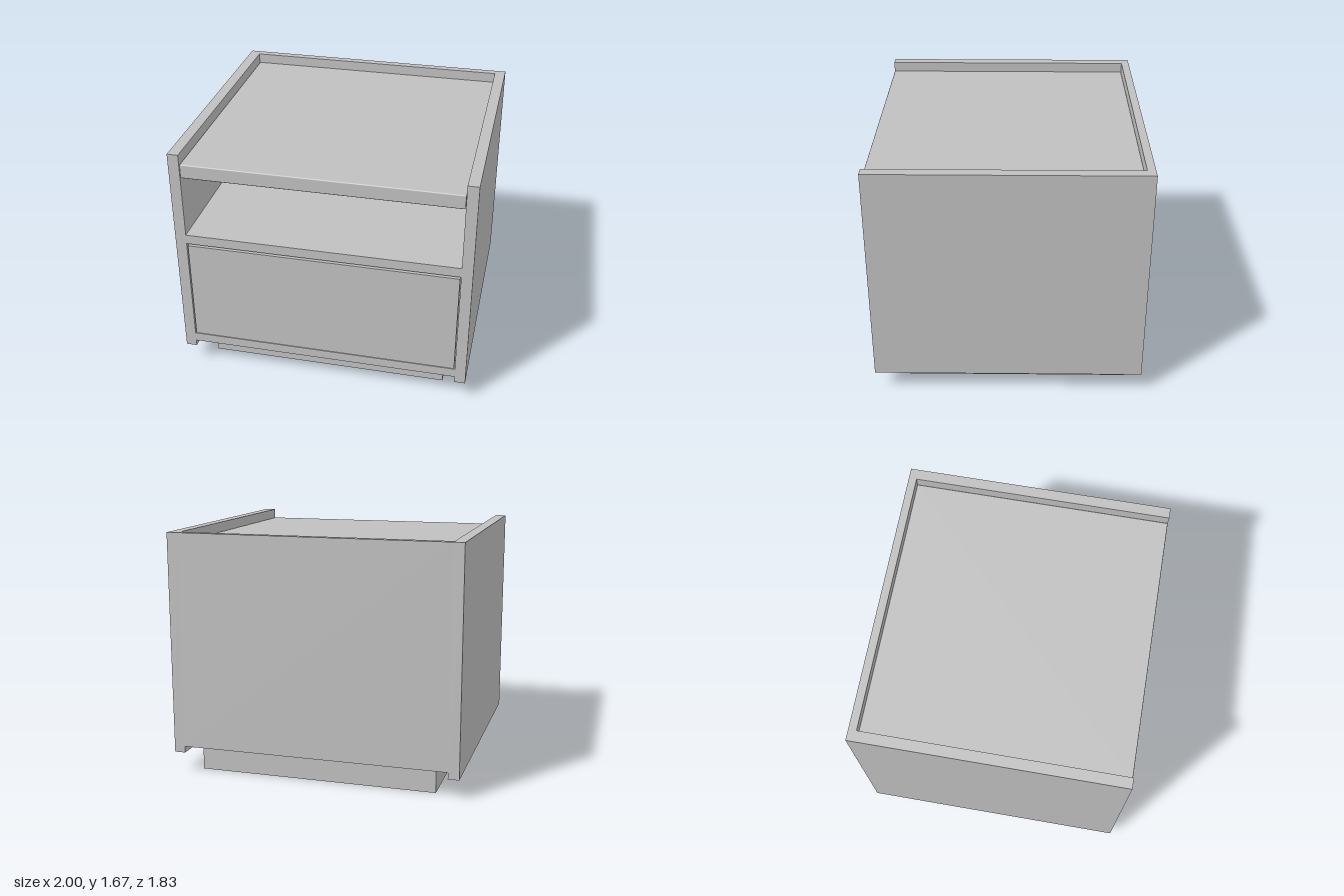
import * as THREE from 'three';
import { RoundedBoxGeometry } from 'three/addons/geometries/RoundedBoxGeometry.js';

export function createModel() {
  const model = new THREE.Group();
  model.name = 'nightstand';
  const paint = new THREE.MeshStandardMaterial({ color: 0xc0c0c0 });
  paint.name = 'light grey';

  // Board given by its extents on each axis, with optional softened edges
  function board(name, [x0, x1], [y0, y1], [z0, z1], radius = 0) {
    const size = [x1 - x0, y1 - y0, z1 - z0];
    const geometry = radius
      ? new RoundedBoxGeometry(...size, 2, radius)
      : new THREE.BoxGeometry(...size);
    const mesh = new THREE.Mesh(geometry, paint);
    mesh.name = name;
    mesh.position.set((x0 + x1) / 2, (y0 + y1) / 2, (z0 + z1) / 2);
    model.add(mesh);
  }

  const front = 0.915, back = -0.915, backInner = -0.86;
  const inner = [-0.925, 0.925];

  // Side panels
  board('leftSide', [0.925, 1], [0.14, 1.67], [back, front]);
  board('rightSide', [-1, -0.925], [0.14, 1.67], [back, front]);

  // Back panel, rising above the top as a low rim
  board('backPanel', inner, [0.185, 1.67], [back, backInner]);

  // Horizontal boards
  board('top', [-0.923, 0.923], [1.503, 1.602], [backInner, front], 0.008);
  board('middleShelf', inner, [1.003, 1.07], [backInner, front]);
  board('bottomBoard', inner, [0.185, 0.25], [backInner, front]);

  // Drawer front, with a narrow gap above and beside it
  board('drawerFront', [-0.918, 0.918], [0.252, 0.985], [0.845, front - 0.003]);

  // Recessed base
  board('plinth', [-0.83, 0.83], [0, 0.185], [-0.818, 0.752]);

  return model;
}
